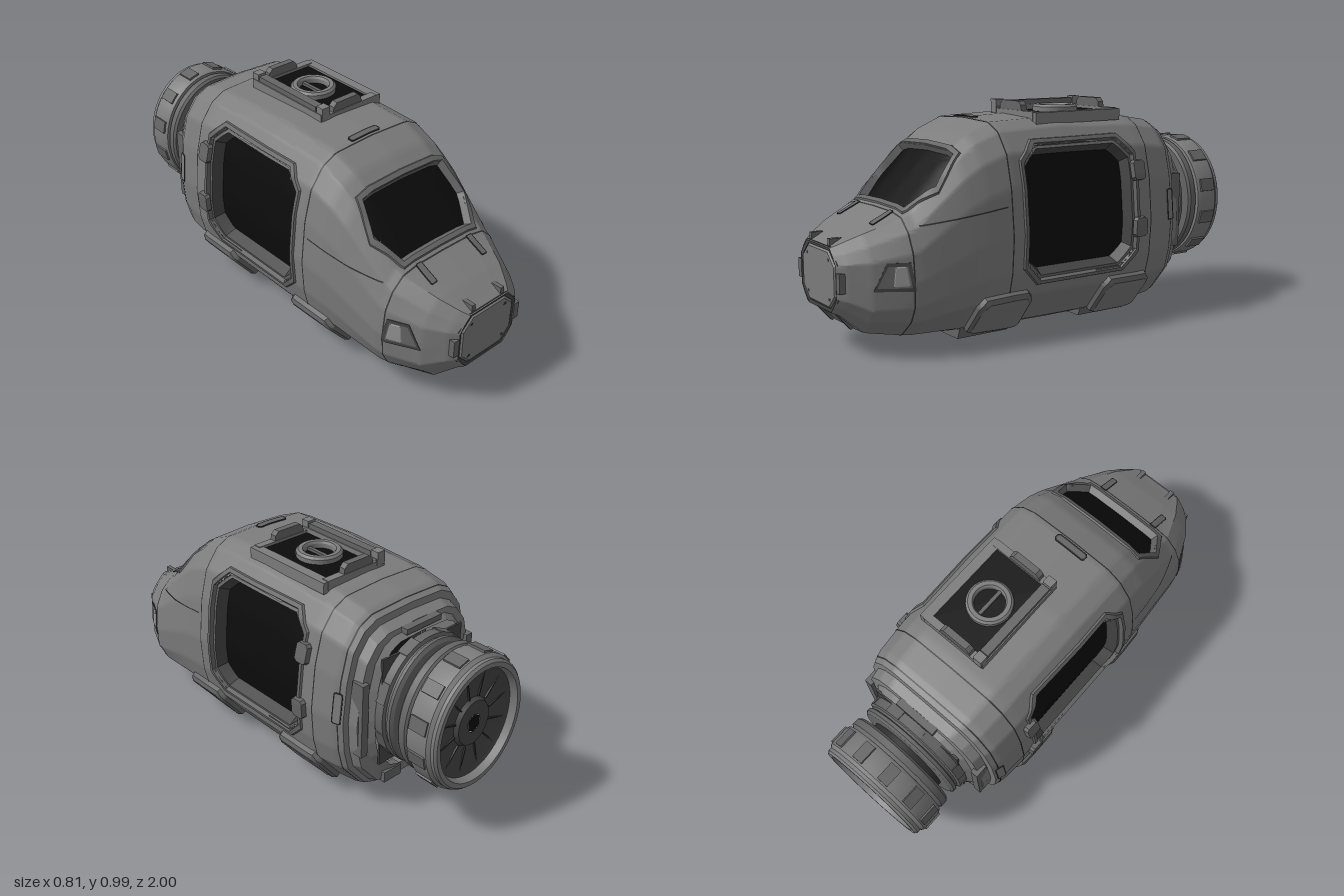
import * as THREE from 'three';
import { toCreasedNormals } from 'three/addons/utils/BufferGeometryUtils.js';

const paint = (name, color) => {
  const m = new THREE.MeshStandardMaterial({ color, side: THREE.DoubleSide });
  m.name = name;
  return m;
};

// Hull stations: z, bottom, top, half width, share of the octagonal nose section
const STATIONS = [
  [1, .19, .45, .165, 1], [.97, .175, .465, .2, 1], [.89, .1, .51, .265, .7], [.75, .07, .575, .335, .3],
  [.71, .062, .6, .345, .2], [.5, .045, .815, .37, 0], [.42, .04, .875, .378, 0], [.3, .035, .925, .385, 0],
  [0, .03, .935, .385, 0], [-.4, .03, .92, .385, 0], [-.55, .05, .895, .375, 0], [-.6, .065, .87, .36, 0],
  [-.605, .08, .84, .335, 0], [-.65, .1, .82, .33, 0], [-.655, .14, .8, .285, 0], [-.68, .18, .78, .26, 0]];
// Half sections from keel to roof, as shares of half width and height
const BODY = [[0, 0], [.44, 0], [.62, .03], [.9, .18], [.97, .3], [1, .475], [.95, .7], [.86, .855], [.7, .95], [.52, .99], [0, 1]];
const NOSE = [[0, 0], [.35, 0], [.67, 0], [.85, .12], [1, .25], [1, .5], [1, .75], [.85, .88], [.67, 1], [.35, 1], [0, 1]];
const mix = THREE.MathUtils.lerp;

// Hull point at z; t runs 0..10 up the left side and 10..20 down the right
function hullPoint(z, t) {
  let i = 0;
  while (i < STATIONS.length - 2 && z < STATIONS[i + 1][0]) i++;
  const a = STATIONS[i], b = STATIONS[i + 1];
  const k = THREE.MathUtils.clamp((a[0] - z) / (a[0] - b[0]), 0, 1);
  const [, y0, y1, hw, n] = a.map((v, j) => mix(v, b[j], k));
  const h = t > 10 ? 20 - t : Math.max(t, 0), s = Math.min(Math.floor(h), 9), f = h - s;
  const q = c => mix(mix(BODY[s][c], BODY[s + 1][c], f), mix(NOSE[s][c], NOSE[s + 1][c], f), n);
  return new THREE.Vector3((t > 10 ? -1 : 1) * hw * q(0), mix(y0, y1, q(1)), z);
}
function onHull(z, t, off = 0) {
  const p = hullPoint(z, t);
  if (!off) return p;
  const dt = hullPoint(z, t + .2).sub(hullPoint(z, t - .2));
  const dz = hullPoint(z + .01, t).sub(hullPoint(z - .01, t));
  return p.addScaledVector(dt.cross(dz).normalize(), off);
}
function solve(test, lo, hi) {
  for (let i = 0; i < 24; i++) { const m = (lo + hi) / 2; if (test(m)) lo = m; else hi = m; }
  return lo;
}
// Surface maps: side (z, y), roof (x, z) and section (z, t / 10)
const sideMap = s => (z, y, o) => {
  const t = solve(m => hullPoint(z, m).y < y, 0, 10);
  return onHull(z, s > 0 ? t : 20 - t, o);
};
const roofMap = (x, z, o) => {
  const t = solve(m => hullPoint(z, m).x > Math.abs(x), 5, 10);
  return onHull(z, x >= 0 ? t : 20 - t, o);
};
const sectionMap = s => (z, v, o) => onHull(z, s > 0 ? v * 10 : 20 - v * 10, o);

// Surface through rows of points
function sheet(rows, crease = .5, skip = () => false) {
  const n = rows[0].length, idx = [];
  for (let i = 0; i < rows.length - 1; i++) for (let j = 0; j < n - 1; j++) {
    if (skip(rows[i][j].clone().add(rows[i + 1][j + 1]).multiplyScalar(.5))) continue;
    const a = i * n + j, b = a + n;
    idx.push(a, a + 1, b, a + 1, b + 1, b);
  }
  const g = new THREE.BufferGeometry().setFromPoints(rows.flat());
  g.setIndex(idx);
  return toCreasedNormals(g, crease);
}
function hullBand(zs, t0, t1, n, off, skip) {
  return sheet(zs.map(z => Array.from({ length: n + 1 }, (_, j) => onHull(z, mix(t0, t1, j / n), off))), .5, skip);
}
// Grow an outline by d on each axis, then scale it by k
function grow(pts, d, k = 1) {
  const box = [0, 1].map(c => {
    const v = pts.map(p => p[c]), lo = Math.min(...v), hi = Math.max(...v);
    return [(lo + hi) / 2, (hi - lo) / 2];
  });
  return pts.map(p => p.map((v, c) => box[c][0] + (v - box[c][0]) * k * (box[c][1] + d) / box[c][1]));
}
const densify = pts => [...pts.flatMap((p, i) => {
  const q = pts[(i + 1) % pts.length];
  return Array.from({ length: 8 }, (_, k) => [mix(p[0], q[0], k / 8), mix(p[1], q[1], k / 8)]);
}), pts[0]];
const inside = (pts, u, v) => pts.reduce((hit, p, i) => {
  const q = pts[(i + 1) % pts.length];
  return (p[1] > v) !== (q[1] > v) && u < (q[0] - p[0]) * (v - p[1]) / (q[1] - p[1]) + p[0] ? !hit : hit;
}, false);
const chamfered = (u0, u1, v0, v1, c) => [[u0 + c, v0], [u1 - c, v0], [u1, v0 + c], [u1, v1 - c],
  [u1 - c, v1], [u0 + c, v1], [u0, v1 - c], [u0, v0 + c]];

const DOOR = chamfered(-.34, .22, .27, .81, .07);
const WINDOW = [[-.22, .505], [.22, .505], [.25, .6], [.19, .7], [-.19, .7], [-.25, .6]];

export function createModel() {
  const root = new THREE.Group();
  const hull = paint('hullGrey', 0x7c7c7c), trim = paint('trimGrey', 0x656565), dark = paint('darkGrey', 0x454545);
  const seam = paint('seamGrey', 0x303030), glass = paint('blackGlass', 0x0c0c0c), light = paint('lightGrey', 0x929292);
  const add = (name, geo, mat, x = 0, y = 0, z = 0) => {
    const m = new THREE.Mesh(geo, mat);
    m.name = name;
    m.position.set(x, y, z);
    root.add(m);
    return m;
  };
  const box = (name, mat, w, h, d, x, y, z) => add(name, new THREE.BoxGeometry(w, h, d), mat, x, y, z);
  // Bevelled rim of [growth, offset] layers on the hull, with an optional filled centre
  const patch = (name, mat, pts, map, layers, fill) => {
    const row = (d, o, k) => densify(grow(pts, d, k)).map(p => map(p[0], p[1], o));
    add(name, sheet(layers.map(l => row(l[0], l[1])), .4), mat);
    const [d, o] = layers[layers.length - 1];
    if (fill) add(name + 'Panel', sheet([1, .8, .6, .4, .2, 0].map(k => row(d, o, k)), .4), fill);
  };

  // Hull shell with door and windscreen openings
  const zs = [...new Set([...Array.from({ length: 84 }, (_, i) => 1 - i * .02), ...STATIONS.map(s => s[0])]
    .map(z => +z.toFixed(3)))].sort((a, b) => b - a);
  const doorCut = grow(DOOR, .012), windowCut = grow(WINDOW, .01);
  add('hull', hullBand(zs, 0, 20, 180, 0, p =>
    inside(doorCut, p.z, p.y) && Math.abs(p.x) > .25 || p.y > .55 && inside(windowCut, p.x, p.z)), hull);
  for (const z of [.745, .31, -.44, -.575])
    add('hullSeam', hullBand([z + .003, z - .003], 1, 19, 120, .002), seam);

  // Windscreen
  patch('windscreenFrame', trim, WINDOW, roofMap, [[.03, 0], [.026, .007], [.008, .007], [0, -.025]], glass);

  for (const s of [1, -1]) {
    const side = sideMap(s), section = sectionMap(s);
    // Door opening with hinges
    patch('doorFrame', trim, DOOR, side, [[.035, 0], [.03, .008], [.015, .008], [.012, -.012], [0, -.012]]);
    patch('doorway', dark, DOOR, side, [[0, -.012], [-.012, -.065]], glass);
    for (const y of [.43, .68])
      patch('doorHinge', trim, chamfered(-.405, -.335, y - .045, y + .045, .012), side, [[0, 0], [-.004, .022]], trim);
    // Nose side lamps
    patch('noseLampFrame', dark, [[.89, .29], [.74, .285], [.755, .4], [.84, .4]], side, [[0, .001], [0, .004], [-.014, .004]], trim);
    patch('noseLamp', light, [[.82, .305], [.76, .305], [.77, .385], [.81, .385]], side, [[0, .006], [-.004, .008]], light);
    // Small service panels
    patch('rearLatch', seam, chamfered(-.59, -.55, .44, .58, .006), side, [[0, .001], [0, .004], [-.005, .004]], hull);
    patch('noseVent', seam, chamfered(s * .147 - .016, s * .147 + .016, .74, .835, .004), roofMap,
      [[0, .001], [0, .005], [-.004, .005]], trim);
    add('cheekSeam', sheet([0, .006].map(d => Array.from({ length: 21 }, (_, i) =>
      side(mix(.7, .33, i / 20), mix(.53, .58, i / 20) + d, .003)))), seam);
    // Landing pads along the lower flanks
    for (const z of [.325, -.325])
      patch('landingPad', trim, chamfered(z - .135, z + .135, .165, .325, .03), section,
        [[0, -.005], [-.006, .02], [-.02, .03]], hull);
    // Nose plate clips
    box('noseSideClip', trim, .03, .08, .03, s * .18, .32, .985);
    box('noseTopClip', trim, .02, .04, .06, s * .085, .463, .96);
    box('noseLowerClip', trim, .02, .1, .018, s * .088, .145, .935).rotation.x = .72;
  }

  // Belly skids between the pads
  for (const z of [.325, -.325]) {
    const skid = new THREE.Shape([[-.165, 0], [.165, 0], [.185, .05], [-.185, .05]].map(p => new THREE.Vector2(...p)));
    add('bellySkid', new THREE.ExtrudeGeometry(skid, { depth: .25, bevelEnabled: false }), trim, 0, 0, z - .125);
  }

  // Octagonal nose plate
  const ring = (d, z) => densify(grow(chamfered(-.165, .165, .19, .45, .06), d)).map(p => new THREE.Vector3(p[0], p[1], z));
  add('nosePlateRim', sheet([ring(.005, .975), ring(.005, .995), ring(-.012, .995), ring(-.012, .99)], .3), dark);
  add('nosePlate', sheet([ring(-.012, .99), ring(-.02, 1), ring(-.12, 1), ring(-.13, 1).map(() => new THREE.Vector3(0, .32, 1))], .3), hull);
  for (const x of [-.1, .1]) for (const y of [.24, .4]) box('noseBolt', seam, .016, .012, .004, x, y, .9985);

  // Roof hatch with rails, raised grips and docking ring
  box('hatchFloor', glass, .27, .02, .4, .07, .928, -.13);
  box('hatchRail', hull, .05, .05, .46, -.07, .935, -.13);
  box('hatchRail', hull, .045, .05, .46, .225, .922, -.13);
  box('hatchGrip', trim, .04, .035, .38, -.07, .965, -.13);
  const arch = new THREE.Shape([[-.085, 0], [.085, 0], [.078, .045], [.06, .062], [-.06, .062], [-.078, .045]]
    .map(p => new THREE.Vector2(...p)));
  for (const z of [.085, -.345]) {
    box('hatchEnd', hull, .3, .04, .035, .075, .93, z);
    box('hatchPost', hull, .042, .06, .04, -.07, .96, z);
    add('hatchArch', new THREE.ExtrudeGeometry(arch, { depth: .03, bevelEnabled: false }), trim, .055, .928, z - .015);
  }
  const dock = new THREE.LatheGeometry([[.1, 0], [.1, .025], [.09, .035], [.072, .035], [.066, .025], [.066, 0]]
    .map(p => new THREE.Vector2(...p)), 32);
  add('dockingRing', toCreasedNormals(dock, .5), hull, .066, .933, -.135);
  box('dockingBar', trim, .016, .012, .14, .066, .945, -.135);
  patch('roofPlate', seam, chamfered(-.1, .06, .265, .3, .008), roofMap, [[0, .001], [0, .006], [-.006, .006]], trim);

  // Engine, turned about the z axis and slightly narrower than tall
  const engine = new THREE.Group();
  engine.name = 'engine';
  engine.position.y = .48;
  engine.scale.x = .9;
  root.add(engine);
  const turn = (name, pts, mat, seg = 48) => {
    const g = new THREE.LatheGeometry(pts.map(p => new THREE.Vector2(...p)), seg).rotateX(-Math.PI / 2);
    engine.add(Object.assign(new THREE.Mesh(toCreasedNormals(g, .5), mat), { name }));
  };
  turn('engineCollar', [[.26, .65], [.29, .68], [.29, .72], [.275, .725], [.275, .735], [.285, .74], [.285, .755], [.27, .765], [.2, .768]], trim);
  turn('engineNeck', [[.21, .76], [.21, .805]], seam);
  turn('engineFlange', [[.2, .797], [.28, .797], [.29, .808], [.29, .838], [.275, .85], [.27, .86]], trim);
  turn('nozzleShroud', [[.27, .852], [.292, .854], [.3, .87], [.3, .96], [.288, .975], [.288, .99], [.278, 1], [.256, 1], [.246, .968]], hull);
  turn('nozzleFace', [[.25, .968], [.235, .962], [.11, .95], [.1, .968], [.04, .968]], dark);
  turn('nozzleCore', [[.042, .969], [0, .969]], glass, 6);
  const around = (name, n, geo, mat, r, z) => {
    for (let i = 0; i < n; i++) {
      const arm = new THREE.Group();
      arm.rotation.z = (i + .5) / n * Math.PI * 2;
      const m = new THREE.Mesh(geo, mat);
      m.name = name;
      m.position.set(0, r, z);
      arm.add(m);
      engine.add(arm);
    }
  };
  around('nozzleClamp', 12, new THREE.BoxGeometry(.06, .016, .085), trim, .299, -.91);
  around('nozzleSpoke', 12, new THREE.BoxGeometry(.006, .12, .008), seam, .175, -.957);
  around('collarBlock', 8, new THREE.BoxGeometry(.09, .03, .05), trim, .275, -.695);

  // Rear bulkhead ribs and grab bar
  box('bulkhead', dark, .46, .5, .01, 0, .48, -.678);
  for (const s of [1, -1]) {
    box('bulkheadRib', trim, .035, .34, .06, s * .305, .47, -.64);
    box('bulkheadFoot', trim, .1, .05, .05, s * .13, .13, -.645);
  }
  box('rearGrabBar', trim, .2, .025, .035, 0, .805, -.665);
  return root;
}
